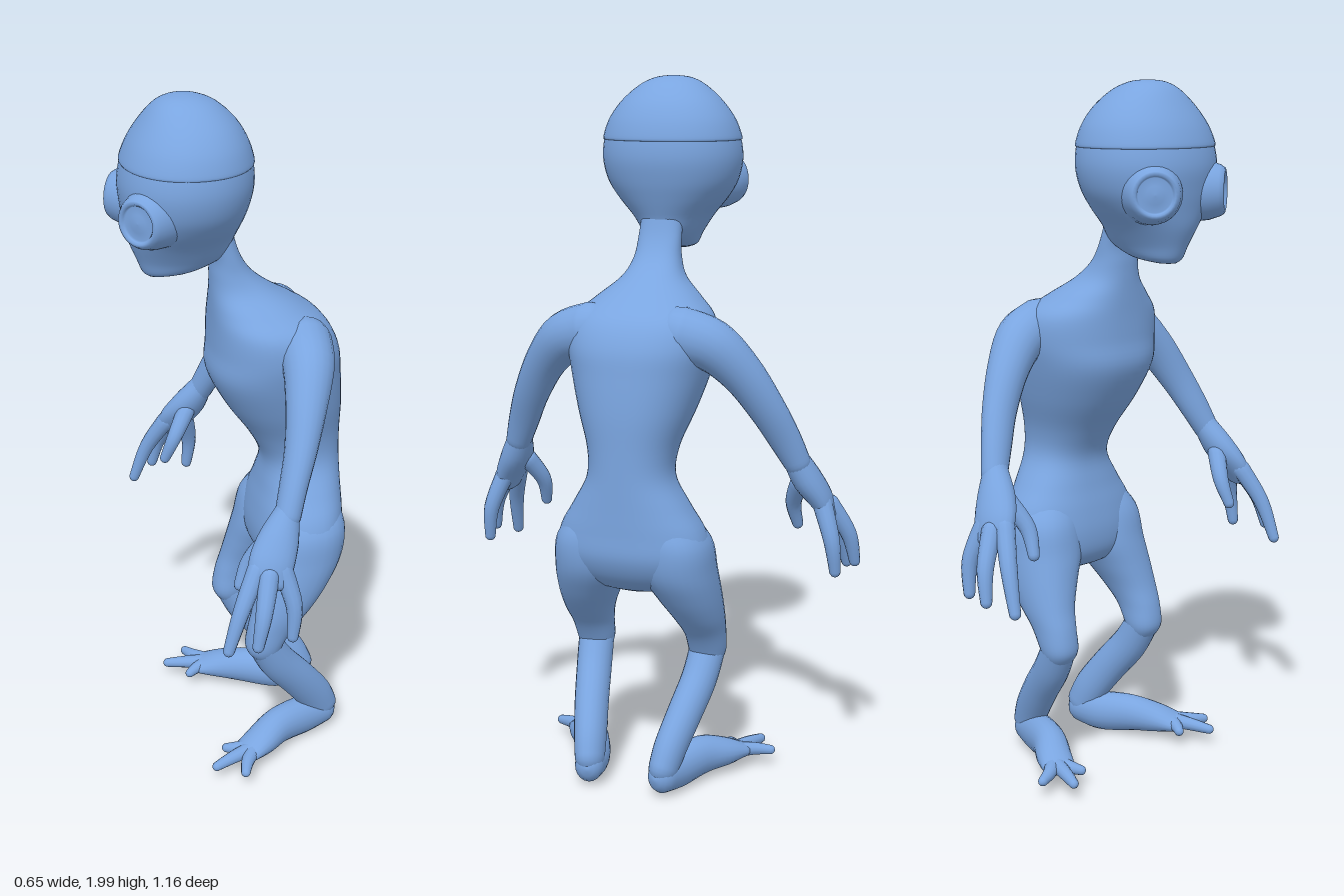
import * as THREE from 'three';

const material = new THREE.MeshStandardMaterial({ color: 0x7aa5e0 });
const V = (x, y, z) => new THREE.Vector3(x, y, z);

// Smooth interpolation of every column of a table of sections
function smooth(rows, steps) {
  const out = [], last = rows.length - 1;
  for (let i = 0; i <= last * steps; i++) {
    const k = Math.min(Math.floor(i / steps), last - 1), t = i / steps - k;
    const [a, b, c, d] = [k - 1, k, k + 1, k + 2].map(j => rows[Math.max(0, Math.min(last, j))]);
    out.push(b.map((p, n) => p + 0.5 * t * (c[n] - a[n] + t * (2 * a[n] - 5 * p + 4 * c[n] - d[n]
      + t * (3 * (p - c[n]) + d[n] - a[n])))));
  }
  return out;
}

// Closed skin over a list of rings, wound so that it faces outward
function skin(name, rings) {
  const n = rings[0].length, m = rings.length, pts = rings.flat(), idx = [];
  for (const ring of [rings[0], rings[m - 1]])
    pts.push(ring.reduce((s, p) => s.add(p), V(0, 0, 0)).divideScalar(n));
  for (let j = 0; j < n; j++) {
    const k = (j + 1) % n, e = (m - 1) * n;
    for (let i = 0; i < m - 1; i++) {
      const a = i * n + j, b = i * n + k;
      idx.push(a, b, a + n, b, b + n, a + n);
    }
    idx.push(m * n, k, j, m * n + 1, e + j, e + k);
  }
  let volume = 0;
  for (let i = 0; i < idx.length; i += 3)
    volume += pts[idx[i]].dot(V(0, 0, 0).crossVectors(pts[idx[i + 1]], pts[idx[i + 2]]));
  if (volume < 0) idx.reverse();
  const g = new THREE.BufferGeometry().setFromPoints(pts);
  g.setIndex(idx);
  g.computeVertexNormals();
  const mesh = new THREE.Mesh(g, material);
  mesh.name = name;
  return mesh;
}

// Horizontal sections: [y, back-to-front x range, half width, centre z]
function stack(name, rows, power = 2, sides = 40) {
  const curve = v => Math.sign(v) * Math.abs(v) ** (2 / power);
  return skin(name, smooth(rows, 5).map(([y, x0, x1, w, cz]) =>
    Array.from({ length: sides }, (_, j) => {
      const a = j / sides * Math.PI * 2;
      return V((x0 + x1) / 2 + (x1 - x0) / 2 * curve(Math.cos(a)), y, cz + w * curve(Math.sin(a)));
    })));
}

// Rounded limb along a path: [x, y, z, radius along side, radius across it]
function limb(name, rows, side = V(0, 0, 1), sides = 20) {
  const s = smooth(rows, 5), pos = s.map(r => V(r[0], r[1], r[2])), rings = [];
  const ring = (i, shift, scale) => {
    const t = pos[Math.min(i + 1, pos.length - 1)].clone().sub(pos[Math.max(i - 1, 0)]).normalize();
    const u = side.clone().addScaledVector(t, -side.dot(t)).normalize();
    const v = V(0, 0, 0).crossVectors(t, u);
    const r = Math.min(s[i][3], s[i][4]);
    rings.push(Array.from({ length: sides }, (_, j) => {
      const a = j / sides * Math.PI * 2;
      return pos[i].clone().addScaledVector(t, shift * r)
        .addScaledVector(u, Math.cos(a) * s[i][3] * scale).addScaledVector(v, Math.sin(a) * s[i][4] * scale);
    }));
  };
  const cap = [1.45, 1.1, 0.75, 0.35];
  cap.forEach(a => ring(0, -Math.sin(a), Math.cos(a)));
  pos.forEach((_, i) => ring(i, 0, 1));
  cap.reverse().forEach(a => ring(pos.length - 1, Math.sin(a), Math.cos(a)));
  return skin(name, rings);
}

// Arm, leg and eye of the +z side
function createSide() {
  const g = new THREE.Group();
  g.add(limb('arm', [
    [0.17, 1.31, 0.13, 0.08, 0.08], [0.155, 1.285, 0.215, 0.072, 0.072], [0.125, 1.21, 0.29, 0.058, 0.06],
    [0.09, 1.11, 0.352, 0.045, 0.052], [0.055, 1.02, 0.395, 0.038, 0.046], [0.03, 0.95, 0.425, 0.036, 0.038],
  ], V(1, 0, 0)));

  const hand = new THREE.Group();
  hand.name = 'hand';
  hand.add(limb('palm', [
    [0.03, 0.96, 0.42, 0.035, 0.036], [0, 0.9, 0.445, 0.055, 0.042],
    [-0.03, 0.845, 0.475, 0.062, 0.036], [-0.045, 0.8, 0.495, 0.056, 0.026],
  ], V(1, 0, 0.2)));
  const fingers = [
    [[-0.07, 0.83, 0.475], [-0.125, 0.73, 0.51], [-0.165, 0.62, 0.525]],
    [[-0.045, 0.82, 0.5], [-0.075, 0.73, 0.55], [-0.095, 0.645, 0.565]],
    [[-0.005, 0.83, 0.49], [0.018, 0.73, 0.525], [0.012, 0.64, 0.535]],
    [[-0.02, 0.88, 0.42], [-0.065, 0.81, 0.39], [-0.095, 0.74, 0.395]],
  ];
  fingers.forEach((f, i) => hand.add(limb(i < 3 ? 'finger' : 'thumb',
    f.map((p, k) => [...p, ...Array(2).fill([0.028, 0.023, 0.016][k])]), V(1, 0, 0.3), 12)));
  g.add(hand);

  g.add(stack('thigh', [
    [0.82, 0.12, 0.28, 0.07, 0.09], [0.74, 0.07, 0.305, 0.1, 0.12], [0.65, 0.05, 0.295, 0.105, 0.128],
    [0.57, 0.035, 0.25, 0.088, 0.15], [0.5, 0.02, 0.195, 0.07, 0.167], [0.44, 0.003, 0.14, 0.058, 0.173],
    [0.38, -0.005, 0.105, 0.053, 0.173], [0.345, 0.012, 0.095, 0.04, 0.172], [0.325, 0.04, 0.07, 0.02, 0.17],
  ], 2.2, 28));
  g.add(limb('shin', [
    [0.05, 0.385, 0.173, 0.052, 0.05], [0.095, 0.305, 0.163, 0.051, 0.055], [0.165, 0.22, 0.143, 0.049, 0.056],
    [0.225, 0.14, 0.123, 0.046, 0.056], [0.255, 0.085, 0.113, 0.042, 0.052],
  ]));
  g.add(limb('foot', [
    [0.26, 0.065, 0.112, 0.042, 0.05], [0.19, 0.065, 0.13, 0.05, 0.06], [0.1, 0.072, 0.17, 0.05, 0.056],
    [0.03, 0.063, 0.215, 0.052, 0.042], [-0.02, 0.055, 0.243, 0.05, 0.025],
  ]));
  for (const [x, z] of [[-0.128, 0.283], [-0.055, 0.335], [-0.075, 0.205]])
    g.add(limb('toe', [[0.01, 0.06, 0.235, 0.025, 0.024],
      [(x - 0.01) / 2, 0.056, (z + 0.24) / 2, 0.02, 0.019], [x, 0.05, z, 0.014, 0.014]], V(0.3, 0, 1), 12));

  // Cupped eye: bulging socket with a rim and a shallow lens
  const eye = new THREE.Group();
  eye.name = 'eye';
  const profile = [[0.085, -0.07], [0.08, -0.03], [0.07, 0], [0.062, 0.012], [0.054, 0.014], [0.049, 0.008],
    [0.046, 0.002], [0.025, 0.007], [0, 0.009]].map(p => new THREE.Vector2(...p));
  eye.add(new THREE.Mesh(new THREE.LatheGeometry(profile, 32), material));
  eye.children[0].name = 'eyeSocket';
  eye.position.set(-0.285, 1.705, 0.128);
  eye.quaternion.setFromUnitVectors(V(0, 1, 0), V(-0.8, 0, 0.6));
  g.add(eye);
  return g;
}

export function createModel() {
  const model = new THREE.Group();
  model.name = 'figure';

  model.add(stack('torso', [
    [1.64, -0.1, -0.005, 0.06, 0], [1.56, -0.062, 0.018, 0.062, 0], [1.5, -0.06, 0.055, 0.068, 0],
    [1.45, -0.06, 0.115, 0.09, 0], [1.4, -0.06, 0.195, 0.145, 0], [1.35, -0.06, 0.262, 0.195, 0],
    [1.28, -0.062, 0.3, 0.205, 0], [1.2, -0.065, 0.312, 0.19, 0], [1.1, -0.015, 0.32, 0.16, 0],
    [1, 0.055, 0.32, 0.125, 0], [0.92, 0.093, 0.32, 0.122, 0], [0.84, 0.085, 0.32, 0.165, 0],
    [0.77, 0.07, 0.32, 0.207, 0], [0.7, 0.06, 0.318, 0.222, 0], [0.64, 0.065, 0.29, 0.2, 0],
    [0.6, 0.09, 0.245, 0.13, 0], [0.58, 0.13, 0.2, 0.05, 0],
  ], 2.3, 48));

  const head = new THREE.Group();
  head.name = 'head';
  head.add(stack('skull', [
    [1.512, -0.235, -0.17, 0.025, 0], [1.525, -0.25, -0.09, 0.055, 0], [1.56, -0.265, -0.015, 0.078, 0],
    [1.61, -0.285, 0.005, 0.112, 0], [1.66, -0.295, 0.025, 0.155, 0], [1.71, -0.303, 0.042, 0.186, 0],
    [1.77, -0.308, 0.054, 0.2, 0], [1.83, -0.297, 0.05, 0.194, 0], [1.88, -0.277, 0.035, 0.176, 0],
    [1.93, -0.245, 0.005, 0.14, 0], [1.97, -0.21, -0.04, 0.092, 0], [1.99, -0.175, -0.085, 0.05, 0],
    [1.996, -0.14, -0.12, 0.012, 0],
  ], 2.1, 48));

  // Cap shell with a shallow stepped edge
  head.add(stack('cap', [
    [1.822, -0.295, 0.048, 0.192, 0], [1.83, -0.301, 0.054, 0.198, 0], [1.88, -0.281, 0.039, 0.18, 0],
    [1.93, -0.249, 0.009, 0.144, 0], [1.973, -0.213, -0.037, 0.095, 0], [1.994, -0.178, -0.082, 0.052, 0],
    [2, -0.14, -0.12, 0.012, 0],
  ], 2.1, 48));
  model.add(head);

  // Matching halves
  const left = createSide(), right = createSide();
  left.name = 'leftSide';
  right.name = 'rightSide';
  right.scale.z = -1;
  model.add(left, right);
  return model;
}
